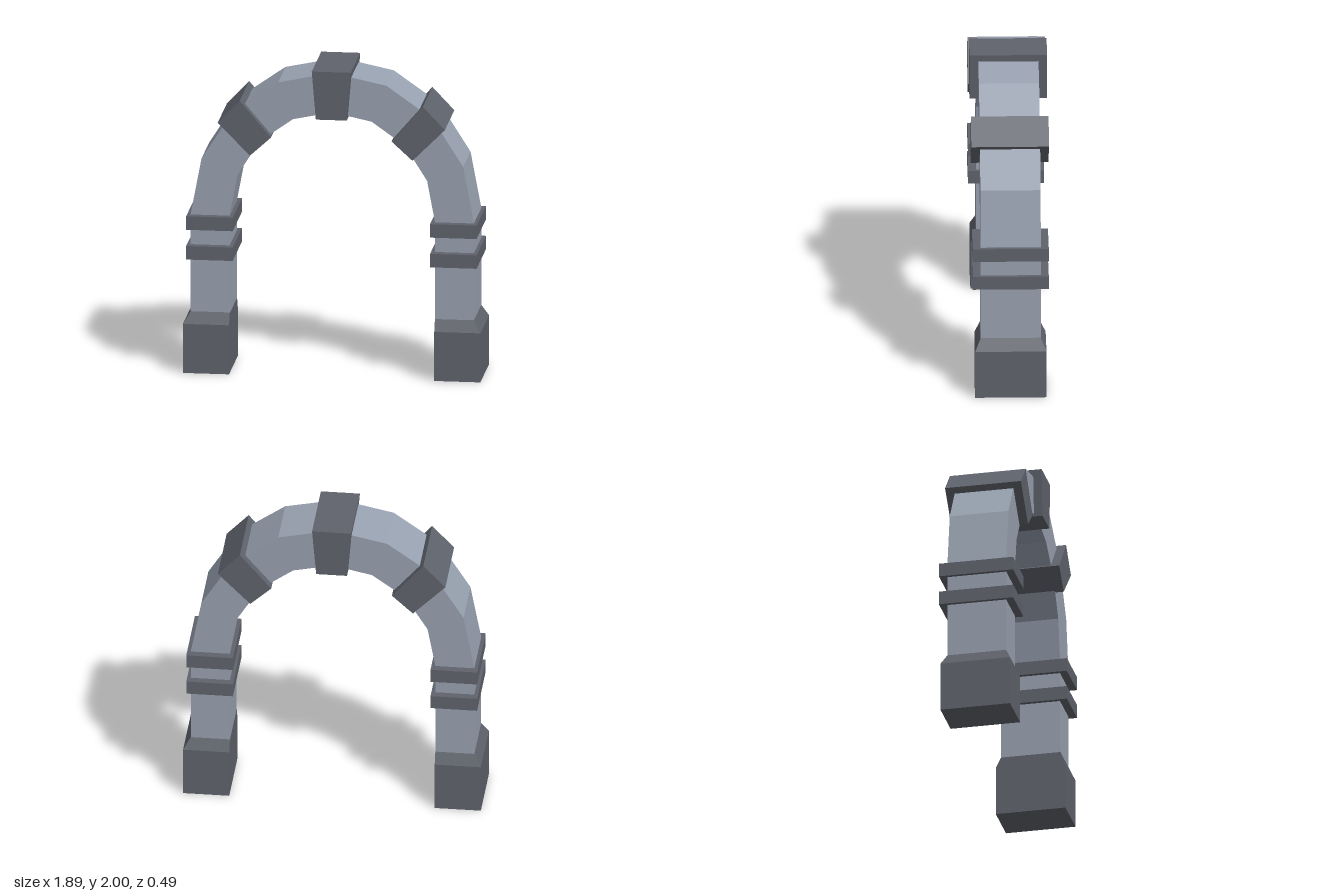
import * as THREE from 'three';

const stone = new THREE.MeshStandardMaterial({ color: 0x99a2b1, flatShading: true });
const darkStone = new THREE.MeshStandardMaterial({ color: 0x5f636c, flatShading: true });

function addMesh(parent, name, geometry, material) {
  const mesh = new THREE.Mesh(geometry, material);
  mesh.name = name;
  parent.add(mesh);
  return mesh;
}

// Front outline pushed through a depth centred on z = 0
function slab(points, depth) {
  const shape = new THREE.Shape(points.map(([x, y]) => new THREE.Vector2(x, y)));
  return new THREE.ExtrudeGeometry(shape, { depth, bevelEnabled: false }).translate(0, 0, -depth / 2);
}

// Half-ellipse in eight straight steps, from right to left
function ellipseSteps(rx, ry, y0) {
  return Array.from({ length: 9 }, (_, i) => {
    const a = (i * Math.PI) / 8;
    return [rx * Math.cos(a), y0 + ry * Math.sin(a)];
  });
}

// Block with a sloped shoulder on three sides, flush on the inner side
function plinthGeometry() {
  const g = new THREE.BoxGeometry(1, 1, 1, 1, 2, 1);
  const p = g.attributes.position;
  for (let i = 0; i < p.count; i++) {
    const row = Math.round((p.getY(i) + 0.5) * 2);
    const top = row === 2;
    const x = p.getX(i) < 0 ? 0.652 : top ? 0.9 : 0.945;
    p.setXYZ(i, x, [0, 0.32, 0.395][row], Math.sign(p.getZ(i)) * (top ? 0.19 : 0.225));
  }
  return g;
}

export function createModel() {
  const model = new THREE.Group();
  model.name = 'stoneArchway';

  // Pillars and arch as one continuous body
  const springY = 1.03;
  const outer = ellipseSteps(0.9, 0.95, springY);
  const inner = ellipseSteps(0.652, 0.693, springY).reverse();
  const outline = [[0.9, 0.39], ...outer, [-0.9, 0.39], [-0.652, 0.39], ...inner, [0.652, 0.39]];
  addMesh(model, 'archBody', slab(outline, 0.38), stone);

  // Wedge at the crown
  const wedge = [[-0.098, 1.687], [0.098, 1.687], [0.124, 2], [-0.124, 2]];
  addMesh(model, 'keystone', slab(wedge, 0.49), darkStone);

  // Plinth, bands and haunch block, repeated on each side
  for (const [name, turn] of [['left', 0], ['right', Math.PI]]) {
    const side = new THREE.Group();
    side.name = name + 'Trim';
    side.rotation.y = turn;
    model.add(side);

    addMesh(side, name + 'Plinth', plinthGeometry(), darkStone);
    [['Lower', 0.789], ['Upper', 0.983]].forEach(([level, y]) => {
      const band = addMesh(side, name + level + 'Band', new THREE.BoxGeometry(0.296, 0.088, 0.48), darkStone);
      band.position.set(0.775, y, 0);
    });
    const haunch = [[0.516, 1.438], [0.722, 1.645], [0.582, 1.793], [0.383, 1.56]];
    addMesh(side, name + 'HaunchBlock', slab(haunch, 0.49), darkStone);
  }
  return model;
}
